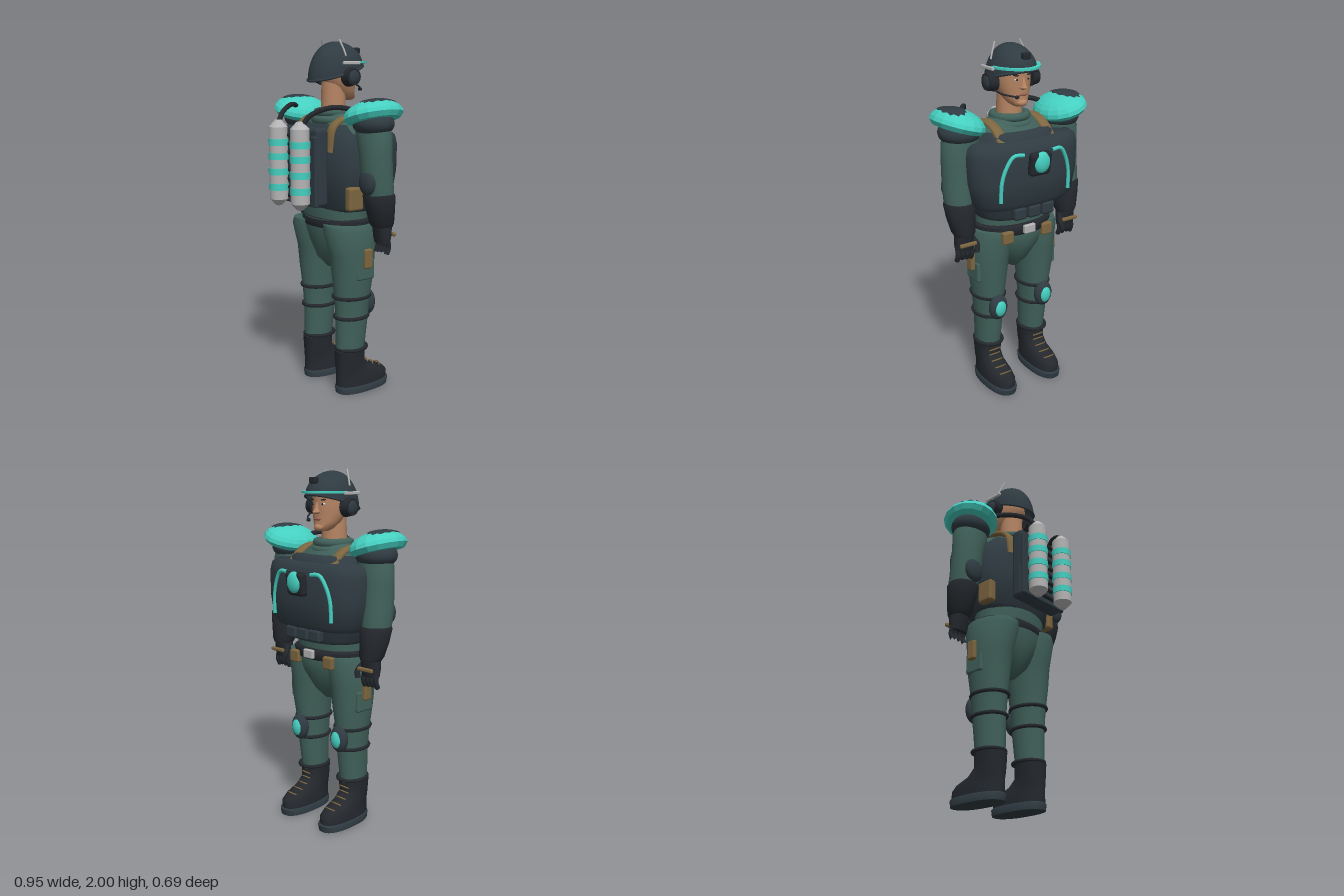
import * as THREE from 'three';
import { toCreasedNormals } from 'three/addons/utils/BufferGeometryUtils.js';
import { RoundedBoxGeometry } from 'three/addons/geometries/RoundedBoxGeometry.js';

const mat = (color, extra = {}) => new THREE.MeshStandardMaterial({ color, ...extra });
const DARK = mat(0x2f3b42), GREEN = mat(0x41615a), TEAL = mat(0x45cfc0), BLACK = mat(0x24282d);
const TAN = mat(0x7d6640), GREY = mat(0xb4b4b4), SKIN = mat(0xb58463), WHITE = mat(0xe0e0dc);
const TEAL_FLAT = mat(0x45cfc0, { flatShading: true });
const DARK_OPEN = mat(0x2f3b42, { side: THREE.DoubleSide });
const V = (x, y, z) => new THREE.Vector3(x, y, z);

export function createModel() {
  const root = new THREE.Group();
  const add = (name, geo, material, x = 0, y = 0, z = 0, parent = root) => {
    const m = new THREE.Mesh(geo, material);
    m.name = name;
    m.position.set(x, y, z);
    parent.add(m);
    return m;
  };
  // Signed power keeps rounded-square cross-sections symmetric
  const pw = (v, p) => Math.sign(v) * Math.abs(v) ** (2 / p);
  // Body of stacked rings, low to high: [y, cx, cz, halfWidth, reach to -z, reach to +z]
  const loft = (rows, p = 2, n = 32) => {
    const pos = [], idx = [];
    for (const [y, cx, cz, rx, zf, zb = zf] of rows) for (let j = 0; j < n; j++) {
      const a = j / n * Math.PI * 2, s = pw(Math.sin(a), p);
      pos.push(cx + rx * pw(Math.cos(a), p), y, cz + s * (s < 0 ? zf : zb));
    }
    const top = (rows.length - 1) * n, c = rows.length * n;
    for (const r of [rows[0], rows.at(-1)]) pos.push(r[1], r[0], r[2]);
    for (let j = 0; j < n; j++) {
      const k = (j + 1) % n;
      for (let i = 0; i < top; i += n) idx.push(i + j, i + n + j, i + k, i + k, i + n + j, i + n + k);
      idx.push(c, j, k, c + 1, top + k, top + j);
    }
    const g = new THREE.BufferGeometry();
    g.setAttribute('position', new THREE.Float32BufferAttribute(pos, 3));
    g.setIndex(idx);
    return toCreasedNormals(g, 0.8);
  };
  const tube = (pts, r, seg = 20) => new THREE.TubeGeometry(new THREE.CatmullRomCurve3(pts), seg, r, 8);
  // Closed elliptical cord with optional slope along z
  const ring = (rx, rz, r, slope = 0) => {
    const pts = [];
    for (let i = 0; i < 24; i++) {
      const a = i / 12 * Math.PI;
      pts.push(V(rx * Math.cos(a), slope * rz * Math.sin(a), rz * Math.sin(a)));
    }
    return new THREE.TubeGeometry(new THREE.CatmullRomCurve3(pts, true), 48, r, 8, true);
  };
  const ball = (x, y, z, w = 24, h = 16) => new THREE.SphereGeometry(1, w, h).scale(x, y, z);
  const box = (x, y, z, r = 0.008) => new RoundedBoxGeometry(x, y, z, 2, r);

  // Suit torso, collar and hips
  add('suitTorso', loft([[1, 0, -.03, .22, .15], [1.1, 0, -.03, .225, .16], [1.45, 0, -.03, .25, .17, .15],
    [1.53, 0, -.03, .23, .15, .12], [1.58, 0, -.025, .14, .1], [1.62, 0, -.02, .095, .09]], 2.2), GREEN);
  add('collar', ring(.092, .092, .024), GREEN, 0, 1.605, -.02);
  add('collarBase', ring(.11, .1, .025), GREEN, 0, 1.565, -.02);
  add('hips', loft([[.72, 0, -.03, .025, .05], [.78, 0, -.03, .09, .11], [.88, 0, -.03, .17, .16, .14],
    [.96, 0, -.03, .22, .175, .16], [1.02, 0, -.03, .225, .16]]), GREEN);
  add('belt', loft([[.965, 0, -.035, .225, .17, .16], [.975, 0, -.035, .242, .178, .168],
    [1.015, 0, -.035, .242, .178, .165], [1.025, 0, -.035, .225, .17, .16]]), BLACK);
  add('buckle', box(.075, .05, .025), GREY, 0, 1, -.218);

  // Vest and wide breastplate
  add('vest', loft([[1.07, 0, -.05, .23, .17, .16], [1.09, 0, -.05, .25, .185, .18], [1.3, 0, -.05, .28, .19, .185],
    [1.43, 0, -.05, .27, .19, .185], [1.53, 0, -.05, .22, .17, .16], [1.545, 0, -.05, .2, .15, .14]], 2.5, 48), DARK);
  add('breastplate', loft([[1.15, 0, -.12, .29, .145, .05], [1.18, 0, -.12, .315, .165, .06], [1.3, 0, -.12, .34, .172, .06],
    [1.44, 0, -.12, .345, .17, .06], [1.49, 0, -.12, .335, .155, .06], [1.51, 0, -.12, .31, .13, .05]], 2.6, 48), DARK);
  for (const x of [-.09, 0, .09]) add('bellyPouch', box(.08, .07, .05, .015), DARK, x, 1.12, -.25);
  const lampBox = add('chestLampHousing', box(.13, .13, .05, .02), BLACK, 0, 1.4, -.305);
  lampBox.rotation.x = -.15;
  add('chestLamp', ball(.05, .058, .025), TEAL, 0, 1.41, -.325);

  // Air pack: frame, ribs between the tanks
  add('packBody', box(.34, .43, .08, .025), DARK, 0, 1.32, .18);
  add('packPlate', box(.35, .38, .025), DARK, 0, 1.3, .225);
  for (let i = 0; i < 8; i++) add('packRib', box(.27, .02, .03), BLACK, 0, 1.15 + i * .048, .24);

  // Head, face and neck
  add('neck', new THREE.CylinderGeometry(.066, .072, .2, 24), SKIN, 0, 1.68, -.015);
  add('head', loft([[1.67, 0, -.105, .03, .03], [1.685, 0, -.095, .052, .056, .06], [1.72, 0, -.07, .075, .075, .08],
    [1.77, 0, -.05, .09, .1, .1], [1.82, 0, -.04, .096, .11, .11], [1.9, 0, -.04, .09, .11, .1]]), SKIN);
  add('nose', loft([[1.762, 0, -.145, .012, .012], [1.772, 0, -.148, .02, .03], [1.79, 0, -.146, .012, .02],
    [1.825, 0, -.142, .008, .01]], 2, 12), SKIN);
  add('lips', ball(.026, .008, .01), mat(0x94604d), 0, 1.735, -.148);
  add('chin', ball(.03, .02, .02), SKIN, 0, 1.69, -.138);

  // Helmet: a dome whose rim rises toward the face
  const rimY = z => 1.812 - .27 * z;
  const dome = new THREE.SphereGeometry(1, 40, 16, 0, Math.PI * 2, 0, Math.PI / 2);
  const dp = dome.attributes.position;
  for (let i = 0; i < dp.count; i++) {
    const z = -.03 + .165 * dp.getZ(i), b = rimY(z);
    dp.setXYZ(i, .13 * dp.getX(i), b + (1.99 - b) * dp.getY(i), z);
  }
  dome.computeVertexNormals();
  add('helmet', dome, DARK_OPEN);
  add('helmetRim', ring(.13, .165, .007, -.27), DARK, 0, 1.82, -.03);
  add('helmetMount', box(.05, .035, .03), BLACK, 0, 1.94, -.172);
  const brim = new THREE.Shape();
  brim.absellipse(0, 0, .142, .19, .15, Math.PI - .15, false);
  brim.absellipse(0, 0, .122, .15, Math.PI - .15, .15, true);
  const brimMesh = add('brim', new THREE.ExtrudeGeometry(brim, { depth: .012, bevelEnabled: false, curveSegments: 28 }),
    TEAL, 0, 1.872, -.03);
  brimMesh.rotation.x = -Math.PI / 2;
  add('microphoneBoom', tube([V(.135, 1.77, -.05), V(.11, 1.745, -.11), V(.05, 1.73, -.165)], .005), BLACK);
  add('microphone', ball(.014, .01, .01), BLACK, .05, 1.73, -.165);

  // Everything paired on both sides
  for (const s of [1, -1]) {
    const side = new THREE.Group();
    side.name = s > 0 ? 'leftSide' : 'rightSide';
    root.add(side);
    const put = (name, geo, material, x, y, z) => add(name, geo, material, s * x, y, z, side);
    const path = (name, pts, r, material) => add(name, tube(pts.map(([x, y, z]) => V(s * x, y, z)), r), material, 0, 0, 0, side);
    const body = (name, rows, material, p) =>
      add(name, loft(rows.map(([y, x, ...r]) => [y, s * x, ...r]), p), material, 0, 0, 0, side);

    // Eyes, headset and aerials
    put('eye', ball(.014, .007, .008), WHITE, .036, 1.815, -.137);
    put('pupil', ball(.006, .006, .005), BLACK, .036, 1.815, -.143);
    put('eyebrow', ball(.022, .005, .008), BLACK, .036, 1.838, -.139).rotation.z = s * .1;
    put('earCup', new THREE.CylinderGeometry(.045, .055, .05, 24), BLACK, .135, 1.8, -.037).rotation.z = -s * Math.PI / 2;
    put('earCupCap', ball(.012, .036, .036), DARK, .157, 1.8, -.037);
    put('helmetRail', box(.016, .018, .115, .005), GREY, .145, 1.873, -.03);
    path('aerial', [[.115, 1.91, -.015], [.1, 1.95, -.008], [.078, 1.997, .004]], .005, GREY);

    // Shoulder straps, vest trims
    const strap = tube([V(0, 1.4, .13), V(0, 1.535, .1), V(0, 1.585, 0), V(0, 1.565, -.11), V(0, 1.48, -.21)], .014, 28);
    put('shoulderStrap', strap.scale(2.5, 1, 1), TAN, .15, 0, 0);
    put('sidePouch', box(.05, .13, .1, .015), TAN, .25, 1.15, .03);
    const plateZ = x => -.12 - .172 * (1 - (x / .345) ** 2.6) ** (1 / 2.6);
    path('chestStripe', [[.09, 1.455], [.15, 1.455], [.19, 1.4], [.215, 1.32], [.22, 1.21]]
      .map(([x, y]) => [x, y, plateZ(x)]), .011, TEAL);

    // Air tank with bands and hose
    const prof = [[0, 1.09], [.018, 1.095], [.052, 1.13], [.052, 1.53], [.018, 1.568], [0, 1.57]].map(a => new THREE.Vector2(...a));
    put('airTank', toCreasedNormals(new THREE.LatheGeometry(prof, 28), .5), GREY, .105, 0, .285);
    for (const y of [1.2, 1.285, 1.37, 1.447])
      put('tankBand', new THREE.CylinderGeometry(.056, .056, .037, 28), TEAL, .105, y, .285);
    path('airHose', [[.115, 1.55, .275], [.135, 1.6, .24], [.19, 1.64, .15], [.25, 1.635, .07], [.28, 1.61, .03]], .014, BLACK);

    // Faceted shoulder guard, tipped up at its outer edge
    const guard = new THREE.Group();
    guard.name = 'shoulderGuard';
    guard.position.set(s * .335, 1.598, -.03);
    guard.rotation.set(0, s > 0 ? 0 : Math.PI, 0);
    const tilt = new THREE.Group();
    tilt.name = 'guardTilt';
    tilt.rotation.z = .29;
    guard.add(tilt);
    side.add(guard);
    const cap = new THREE.SphereGeometry(1, 16, 6, 0, Math.PI * 2, 0, Math.PI / 2).scale(.145, .085, .173);
    add('guardDome', cap, TEAL_FLAT, 0, 0, 0, tilt);
    add('guardRim', new THREE.CylinderGeometry(.145, .125, .025, 16).scale(1, 1, 1.19), TEAL_FLAT, 0, -.0125, 0, tilt);
    const pos = [], idx = [], n = 24;
    for (let k = 0; k <= 5; k++) for (let j = 0; j < n; j++) {
      const a = j / n * Math.PI * 2, r = k / 5 * (j % 2 ? 1 : .87);
      const x = .055 + .067 * r * Math.cos(a), z = .115 * r * Math.sin(a);
      pos.push(x, .003 + .086 * Math.sqrt(Math.max(0, 1 - (x / .147) ** 2 - (z / .175) ** 2)), z);
      const b = k * n + j, q = k * n + (j + 1) % n;
      if (k < 5) idx.push(b, q, b + n, q, q + n, b + n);
    }
    const patch = new THREE.BufferGeometry();
    patch.setAttribute('position', new THREE.Float32BufferAttribute(pos, 3));
    patch.setIndex(idx);
    patch.computeVertexNormals();
    add('guardPatch', patch, DARK_OPEN, 0, 0, 0, tilt);
    put('shoulderCap', ball(.118, .075, .11), DARK, .325, 1.56, -.035);

    // Arm, cuff and gloved hand
    body('sleeve', [[1.1, .35, -.065, .075, .075], [1.2, .35, -.055, .084, .085], [1.28, .347, -.045, .088, .088],
      [1.4, .34, -.04, .094, .087], [1.5, .325, -.04, .108, .09], [1.59, .31, -.04, .09, .08]], GREEN);
    put('elbowPatch', ball(.06, .07, .03), DARK, .352, 1.25, .025);
    body('gloveCuff', [[1, .345, -.09, .055, .06], [1.02, .345, -.085, .066, .07], [1.1, .35, -.07, .08, .08],
      [1.17, .35, -.06, .089, .089], [1.185, .35, -.058, .083, .083]], BLACK);
    body('palm', [[.91, .345, -.09, .052, .03], [.95, .345, -.09, .056, .04], [1.01, .345, -.09, .05, .05]], BLACK, 2.5);
    for (let i = 0; i < 4; i++)
      path('finger', [[.302 + i * .029, .935, -.09], [.302 + i * .029, .89, -.1], [.302 + i * .029, .85 + (i % 3) * .004, -.085]], .014, BLACK);
    path('thumb', [[.3, .98, -.1], [.285, .94, -.13], [.295, .9, -.14]], .015, BLACK);
    put('handStrap', box(.105, .022, .02), TAN, .345, .955, -.138);

    // Leg, cords, pockets and knee guard
    body('trouserLeg', [[.24, .157, -.02, .07, .085, .09], [.45, .157, -.03, .08, .1], [.56, .158, -.03, .088, .108],
      [.7, .16, -.032, .106, .125], [.82, .157, -.03, .118, .135], [.96, .15, -.025, .128, .165, .17],
      [.995, .145, -.025, .122, .16, .165]], GREEN);
    for (const [y, rx, rz] of [[.575, .09, .11], [.455, .082, .102], [.265, .077, .092]])
      put('legCord', ring(rx, rz, .011), BLACK, .157, y, -.028);
    put('thighPocket', box(.04, .12, .12, .012), GREEN, .25, .745, -.045);
    put('thighPouch', box(.045, .11, .055, .01), TAN, .27, .81, -.047);
    put('beltPouch', box(.07, .07, .035, .01), TAN, .13, .965, -.195);
    put('kneeGuard', ball(.058, .078, .04), DARK, .158, .52, -.14);
    put('kneeLamp', ball(.04, .055, .03), TEAL, .158, .52, -.157);

    // Boot and laces
    body('sole', [[0, .158, -.1, .08, .18, .17], [.035, .158, -.1, .083, .186, .175], [.042, .158, -.1, .078, .18, .17]], DARK, 2.4);
    body('boot', [[.04, .158, -.1, .075, .175, .17], [.08, .158, -.1, .076, .175, .17], [.11, .158, -.08, .07, .165, .15],
      [.14, .158, -.03, .068, .13, .1], [.18, .157, -.02, .07, .085, .092], [.255, .157, -.015, .075, .09]], BLACK, 2.3);
    for (const [y, z] of [[.12, -.225], [.137, -.175], [.16, -.135], [.19, -.11], [.22, -.11]])
      path('lace', [[.122, y - .004, z + .012], [.158, y + .006, z - .003], [.194, y - .004, z + .012]], .004, TAN);
  }
  return root;
}
